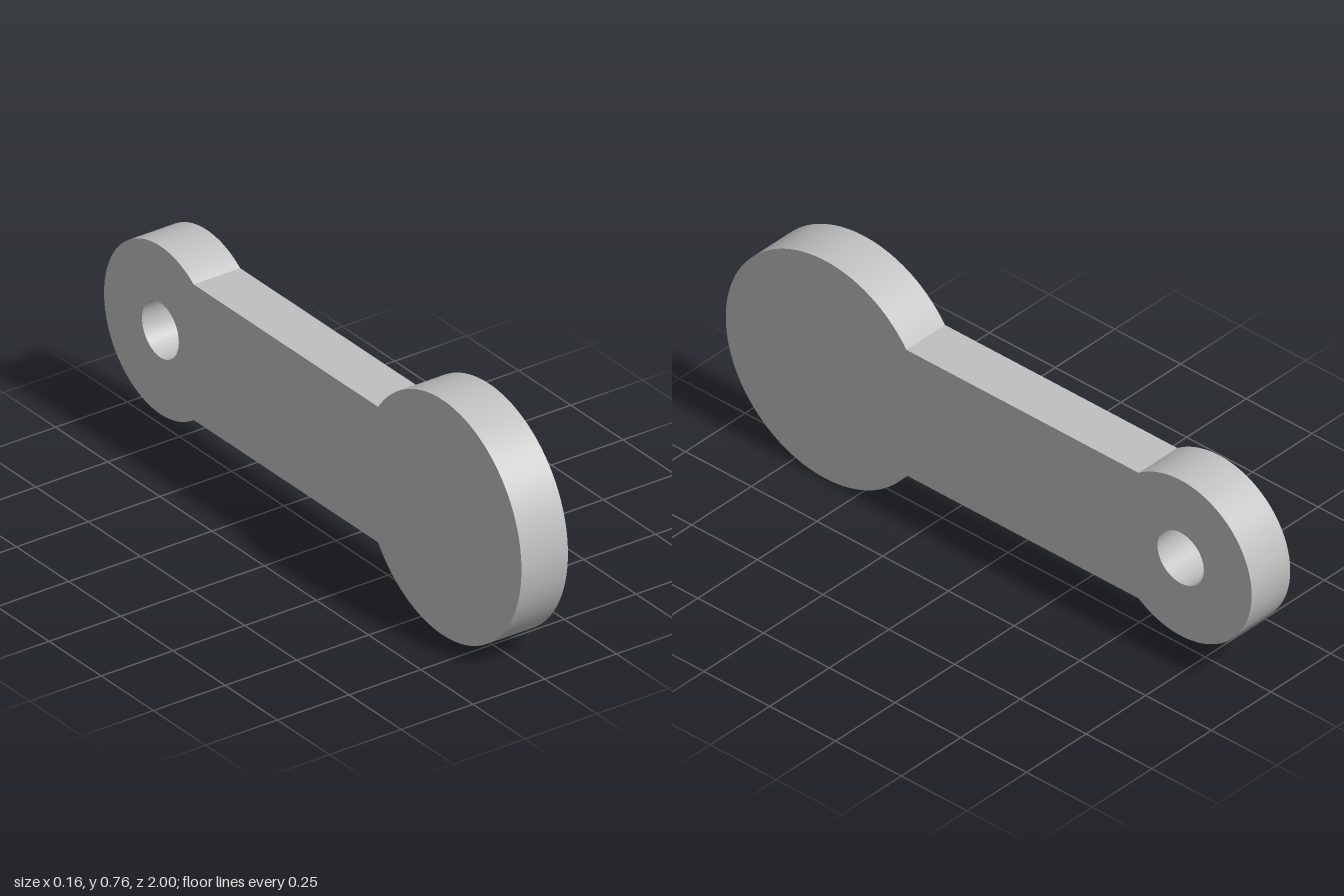
import * as THREE from 'three';
import { toCreasedNormals } from 'three/addons/utils/BufferGeometryUtils.js';

const THICKNESS = 0.162;
const MID_Y = 0.3785;
const BAR_HALF = 0.218;
const BIG = { u: -0.622, r: 0.378 };
const SMALL = { u: 0.73, r: 0.27, hole: 0.088 };

export function createModel() {
  const group = new THREE.Group();
  group.name = 'linkArm';
  const metal = new THREE.MeshStandardMaterial({ color: 0xc0c0c0 });
  metal.name = 'light grey';

  // Outline: small eye, straight bar, big disc (shape x runs towards -z)
  const a = Math.asin(BAR_HALF / SMALL.r);
  const b = Math.asin(BAR_HALF / BIG.r);
  const outline = new THREE.Shape();
  outline.absarc(SMALL.u, 0, SMALL.r, a - Math.PI, Math.PI - a, false);
  outline.absarc(BIG.u, 0, BIG.r, b, 2 * Math.PI - b, false);
  outline.closePath();

  // Pivot hole through the small eye
  const hole = new THREE.Path();
  hole.absarc(SMALL.u, 0, SMALL.hole, 0, Math.PI * 2, true);
  outline.holes.push(hole);

  // Extrude across the width and smooth the round rims
  const extruded = new THREE.ExtrudeGeometry(outline, {
    depth: THICKNESS, bevelEnabled: false, curveSegments: 64,
  });
  extruded.translate(0, 0, -THICKNESS / 2);
  extruded.rotateY(Math.PI / 2);
  extruded.translate(0, MID_Y, 0);

  const arm = new THREE.Mesh(toCreasedNormals(extruded, 0.4), metal);
  arm.name = 'armPlate';
  group.add(arm);
  return group;
}
